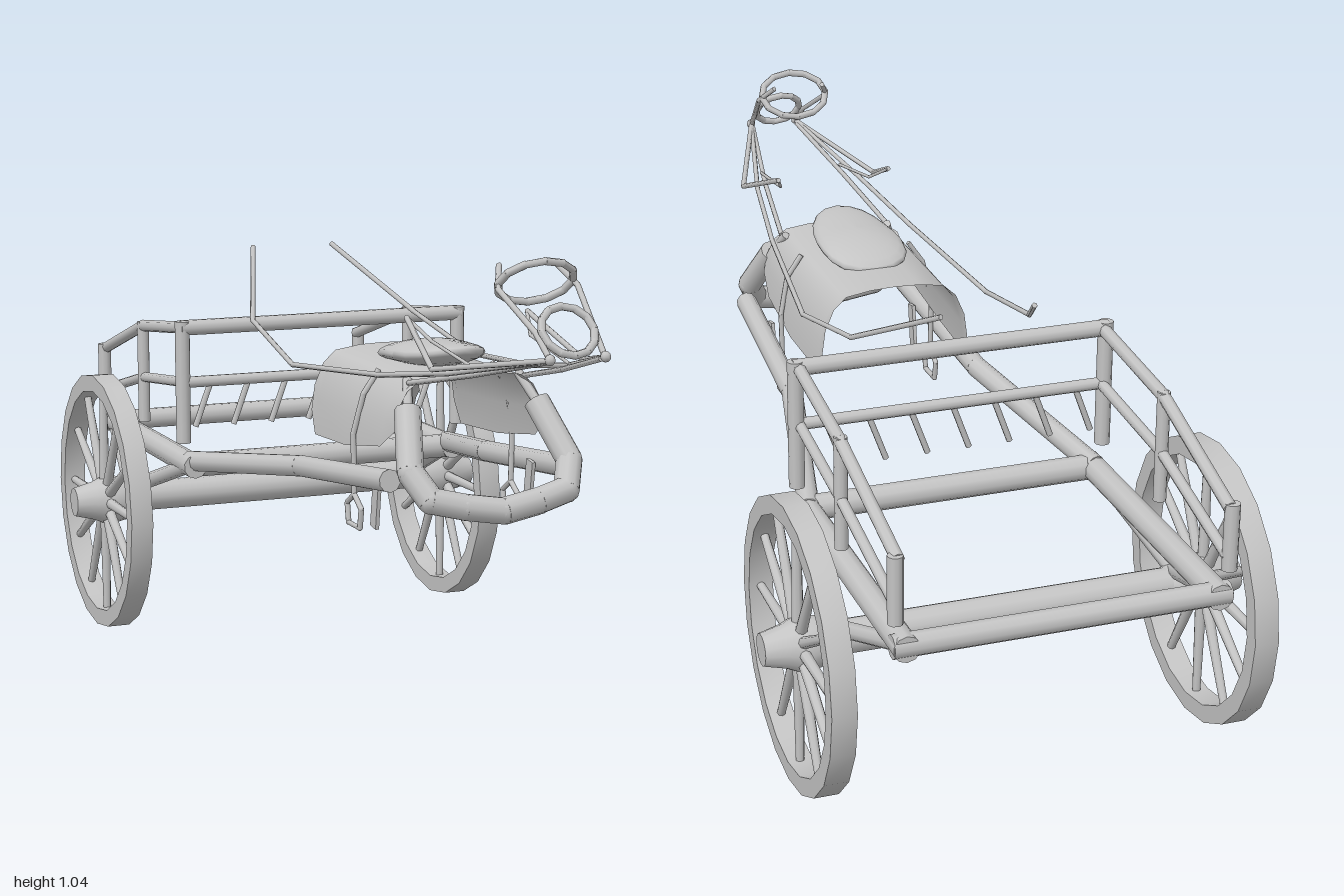
import * as THREE from 'three';
import { toCreasedNormals } from 'three/addons/utils/BufferGeometryUtils.js';

const grey = new THREE.MeshStandardMaterial({ color: 0xc4c4c4, side: THREE.DoubleSide });
grey.name = 'plain grey';
const V = (p) => new THREE.Vector3(...p);
const mirror = ([x, y, z]) => [-x, y, z];

function add(group, name, geometry) {
  const mesh = new THREE.Mesh(geometry, grey);
  mesh.name = name;
  group.add(mesh);
  return mesh;
}

// Round bar between two points, optionally tapered
function bar(group, name, a, b, r, r2 = r, sides = 10) {
  const from = V(a), dir = V(b).sub(from);
  const geo = new THREE.CylinderGeometry(r2, r, dir.length(), sides);
  const mesh = add(group, name, geo);
  mesh.position.copy(from).addScaledVector(dir, 0.5);
  mesh.quaternion.setFromUnitVectors(new THREE.Vector3(0, 1, 0), dir.normalize());
  return mesh;
}

// Chain of straight bars with ball joints
function chain(group, name, points, r, sides = 8) {
  const part = new THREE.Group();
  part.name = name;
  points.forEach((p, i) => {
    if (i) bar(part, name + 'Section', points[i - 1], p, r, r, sides);
    if (i && i < points.length - 1) {
      add(part, name + 'Joint', new THREE.SphereGeometry(r, sides, 6)).position.set(...p);
    }
  });
  group.add(part);
}

const both = (fn) => [1, -1].forEach((s) => fn(s, (p) => (s > 0 ? p : mirror(p))));

// Spoked wheel with a barrel hub, its axis along x
function makeWheel() {
  const wheel = new THREE.Group();
  wheel.name = 'wheel';
  const section = [[0.268, -0.026], [0.307, -0.026], [0.307, 0.026], [0.268, 0.026], [0.268, -0.026]];
  const rim = new THREE.LatheGeometry(section.map((p) => new THREE.Vector2(...p)), 20);
  add(wheel, 'rim', toCreasedNormals(rim, 0.6)).rotation.z = -Math.PI / 2;
  const profile = [[0, -0.09], [0.036, -0.09], [0.05, -0.055], [0.058, -0.02], [0.055, 0.01], [0.046, 0.03], [0.034, 0.077], [0, 0.077]];
  const hub = new THREE.LatheGeometry(profile.map((p) => new THREE.Vector2(...p)), 14);
  add(wheel, 'hub', toCreasedNormals(hub, 0.8)).rotation.z = -Math.PI / 2;
  for (let i = 0; i < 12; i++) {
    const a = (i / 12) * Math.PI * 2, c = Math.cos(a), s = Math.sin(a);
    bar(wheel, 'spoke', [0, c * 0.03, s * 0.03], [0, c * 0.275, s * 0.275], 0.013, 0.009, 8);
  }
  return wheel;
}

function makeCart() {
  const cart = new THREE.Group();
  cart.name = 'cart';
  const front = -0.345, middle = -0.65, rear = -0.975;

  // Axle and bed frame
  bar(cart, 'axle', [-0.4, 0.309, -0.67], [0.4, 0.309, -0.67], 0.036, 0.036, 14);
  bar(cart, 'frontBeam', [-0.33, 0.443, front], [0.33, 0.443, front], 0.028);
  bar(cart, 'rearBeam', [-0.35, 0.443, rear], [0.35, 0.443, rear], 0.025);

  both((s, m) => {
    const wheel = makeWheel();
    wheel.position.set(s * 0.443, 0.307, -0.667);
    wheel.rotation.y = s > 0 ? 0 : Math.PI;
    cart.add(wheel);

    bar(cart, 'sideBeam', m([0.325, 0.443, -0.32]), m([0.325, 0.443, -0.995]), 0.028);
    chain(cart, 'axleBrace', [[0.325, 0.445, front], [0.38, 0.335, -0.66], [0.325, 0.445, rear]].map(m), 0.018);
    chain(cart, 'shaft', [[0.2, 0.565, 0.55], [0.222, 0.515, 0.1], [0.325, 0.45, -0.36]].map(m), 0.024, 10);

    // Side rails and posts
    [[front, 0.78, 0.017], [middle, 0.74, 0.014], [-0.983, 0.64, 0.016]].forEach(([z, top, r]) =>
      bar(cart, 'railPost', m([0.345, 0.497, z]), m([0.345, top, z]), r));
    chain(cart, 'topRail', [[0.338, 0.765, front], [0.345, 0.73, middle], [0.34, 0.63, -0.983]].map(m), 0.014);
    chain(cart, 'lowerRail', [[0.338, 0.638, front], [0.345, 0.605, middle], [0.34, 0.525, -0.983]].map(m), 0.012);
  });

  // Front rails with leaning sticks
  bar(cart, 'frontTopRail', [-0.35, 0.765, front], [0.35, 0.765, front], 0.018);
  bar(cart, 'frontLowerRail', [-0.34, 0.638, front], [0.34, 0.638, front], 0.013);
  for (let i = 0; i < 7; i++) {
    const x = -0.28 + i * 0.093;
    bar(cart, 'leaningStick', [x, 0.63, front], [x - 0.036, 0.533, front], 0.007, 0.007, 6);
  }
  return cart;
}

// Arched blanket swept along z from a half cross-section
function makeBlanket() {
  const half = [[0.18, 0.575], [0.172, 0.65], [0.15, 0.715], [0.12, 0.75], [0.06, 0.762]];
  const arch = [...half, [0, 0.765], ...half.slice().reverse().map(([x, y]) => [-x, y])];
  const steps = [[0.03, 0.95, 0.05], [0.06, 0.97, 0.0], [0.25, 1, 0.01], [0.44, 0.98, 0.04], [0.5, 0.94, 0.08]];
  const pos = [], index = [], n = arch.length;
  steps.forEach(([z, w, lift], j) => arch.forEach(([x, y], i) => {
    pos.push(x * w, y + lift * ((0.765 - y) / 0.19), z);
    if (j && i) {
      const a = j * n + i;
      index.push(a - n - 1, a - 1, a, a - n - 1, a, a - n);
    }
  }));
  const geo = new THREE.BufferGeometry();
  geo.setAttribute('position', new THREE.Float32BufferAttribute(pos, 3));
  geo.setIndex(index);
  geo.computeVertexNormals();
  return geo;
}

// Cushion with a wide back, a narrow waist and a raised front
function makeSeat() {
  const geo = new THREE.SphereGeometry(1, 20, 12);
  const p = geo.attributes.position;
  for (let i = 0; i < p.count; i++) {
    const x = p.getX(i), y = p.getY(i), z = p.getZ(i);
    const square = 1 + 0.25 * z * z;
    p.setXYZ(i, x * square * (0.095 - 0.014 * z), 0.783 + 0.028 * y + 0.018 * z * Math.abs(z) + 0.006 * z, 0.31 + 0.16 * z);
  }
  geo.computeVertexNormals();
  return geo;
}

function makeHarness() {
  const harness = new THREE.Group();
  harness.name = 'harness';
  add(harness, 'blanket', makeBlanket());
  add(harness, 'seat', makeSeat());

  // Heavy collar, leaning forward at the bottom
  const side = [[0.145, 0.7], [0.177, 0.59], [0.15, 0.538], [0.08, 0.522]];
  const collar = [...side, [0, 0.51], ...side.slice().reverse().map(([x, y]) => [-x, y])];
  chain(harness, 'collar', collar.map(([x, y]) => [x, y, 0.51 + (0.7 - y) * 0.82]), 0.028, 10);

  // Brow and nose rings
  const ring = (name, rx, low, high) => {
    const pts = [];
    for (let i = 0; i <= 12; i++) {
      const a = (i / 12) * Math.PI * 2, t = (1 + Math.sin(a)) / 2;
      pts.push([Math.cos(a) * rx, low[0] + (high[0] - low[0]) * t, low[1] + (high[1] - low[1]) * t]);
    }
    chain(harness, name, pts, 0.008, 6);
  };
  ring('browRing', 0.08, [0.945, 0.76], [1.033, 0.84]);
  ring('noseRing', 0.055, [0.87, 0.975], [0.955, 0.91]);

  both((s, m) => {
    const strap = (name, pts, r = 0.006) => chain(harness, name, pts.map(m), r, 6);
    strap('cheekStrap', [[0.057, 0.865, 0.985], [0.062, 0.91, 0.93], [0.085, 0.98, 0.81], [0.06, 1.02, 0.76]]);
    add(harness, 'bitKnob', new THREE.SphereGeometry(0.011, 8, 6)).position.set(s * 0.058, 0.866, 0.985);
    strap('rein', [[0.057, 0.865, 0.985], [0.13, 0.8, 0.68], [0.17, 0.76, 0.42], [0.215, 0.727, 0.03], [0.2, 0.785, -0.27], [0.1, 0.92, -0.545]]);
    strap('sideStrap', [[0.057, 0.865, 0.985], [0.165, 0.81, 0.68], [0.135, 0.885, 0.48]]);
    strap('sideStrapBranch', [[0.1, 0.815, 0.75], [0.11, 0.845, 0.55], [0.135, 0.885, 0.48]], 0.004);
    strap('chestStrap', [[0.057, 0.86, 0.97], [0.1, 0.8, 0.72], [0.13, 0.75, 0.48]]);
    strap('collarStrap', [[0.145, 0.7, 0.51], [0.125, 0.755, 0.46]], 0.01);

    // Stirrup hanging from its strap, and the girth strap end
    strap('stirrupStrap', [[0.13, 0.755, 0.32], [0.165, 0.705, 0.32], [0.184, 0.62, 0.31], [0.182, 0.49, 0.31]]);
    strap('stirrup', [[0.182, 0.49, 0.31], [0.182, 0.465, 0.35], [0.182, 0.423, 0.342], [0.182, 0.423, 0.278], [0.182, 0.465, 0.27], [0.182, 0.49, 0.31]]);
    const girth = add(harness, 'girthStrap', new THREE.BoxGeometry(0.008, 0.12, 0.03));
    girth.position.set(s * 0.175, 0.497, 0.415);
    girth.rotation.x = 0.15;
  });
  return harness;
}

export function createModel() {
  const model = new THREE.Group();
  model.name = 'horseCart';
  model.add(makeCart(), makeHarness());
  return model;
}
